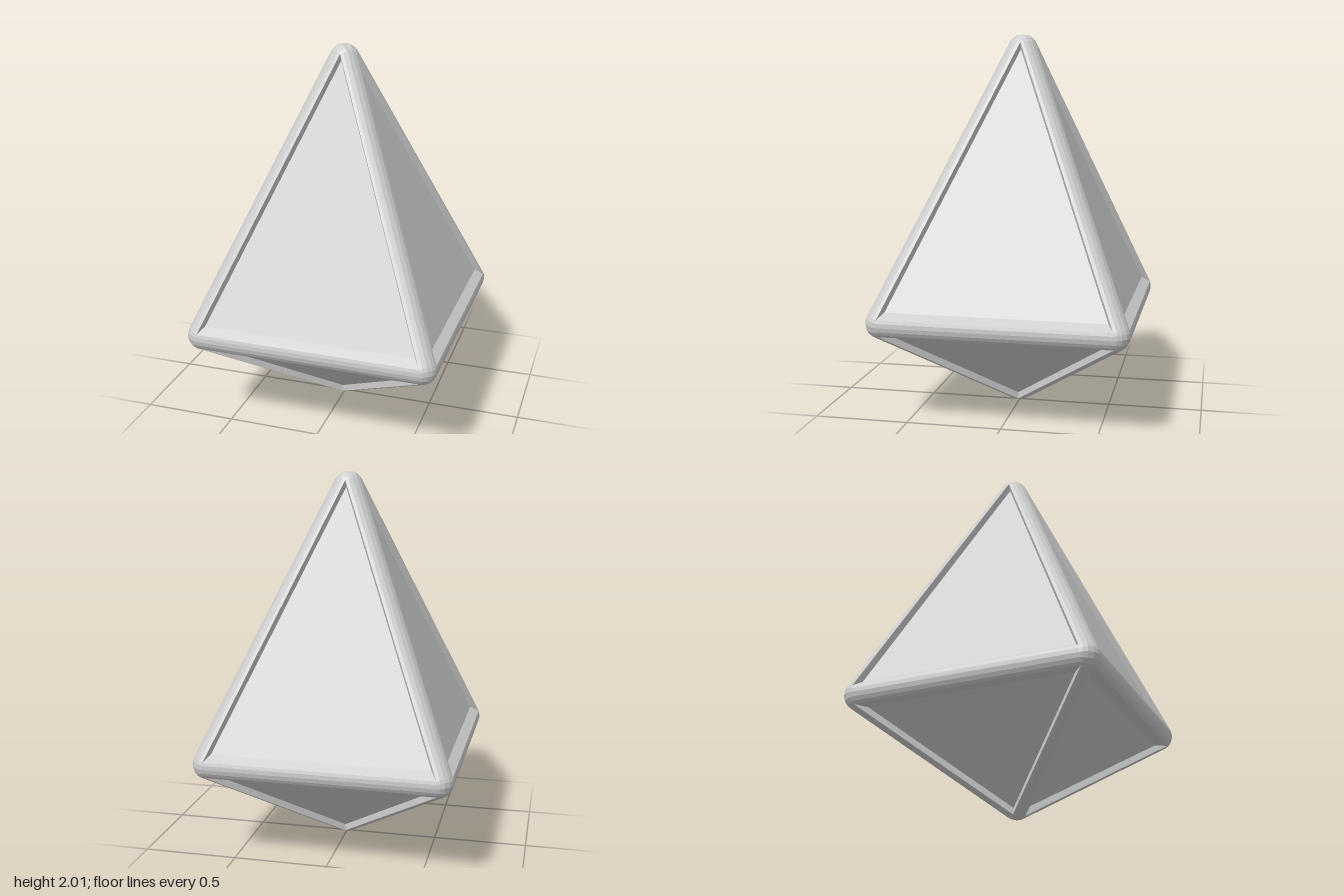
import * as THREE from 'three';

const R = 0.077;      // rounding radius of the frame
const N = 5;          // facets across each rounding
const V = (x, y, z) => new THREE.Vector3(x, y, z);
const along = (p, dir, d) => p.clone().addScaledVector(dir, d);
const blend = (a, b, t) => a.clone().lerp(b, t).normalize();

// Collects flat triangles, each wound to face the given outward hint
class Faces {
  constructor() { this.pos = []; }
  tri(a, b, c, out) {
    const n = b.clone().sub(a).cross(c.clone().sub(a));
    const list = n.dot(out) < 0 ? [a, c, b] : [a, b, c];
    list.forEach((p) => this.pos.push(p.x, p.y, p.z));
  }
  quad(a, b, c, d, out) {
    this.tri(a, b, c, out);
    this.tri(a, c, d, out);
  }
  mesh(name, material) {
    const g = new THREE.BufferGeometry();
    g.setAttribute('position', new THREE.Float32BufferAttribute(this.pos, 3));
    g.computeVertexNormals();
    const m = new THREE.Mesh(g, material);
    m.name = name;
    return m;
  }
}

export function createModel() {
  const group = new THREE.Group();
  group.name = 'crystal';
  const grey = new THREE.MeshStandardMaterial({ color: 0xcccccc, flatShading: true });
  grey.name = 'light grey';

  // Centres of the rounded points
  const top = V(-0.01, 1.93, -0.015);
  const bottom = V(0, 0.071, 0);
  const c = 0.595;
  const corners = [V(-c, 0.543, c), V(c, 0.543, c), V(c, 0.543, -c), V(-c, 0.543, -c)];
  const centre = V(0, 0.6, 0);

  const normalOf = (a, b, t) => {
    const n = b.clone().sub(a).cross(t.clone().sub(a)).normalize();
    return n.dot(a.clone().sub(centre)) < 0 ? n.negate() : n;
  };
  const upper = corners.map((p, i) => normalOf(p, corners[(i + 1) % 4], top));
  const lower = corners.map((p, i) => normalOf(p, corners[(i + 1) % 4], bottom));

  const edges = new Faces(), tips = new Faces(), grooves = new Faces(), panels = new Faces();

  // Rounded strut between two points, turning from face normal n1 to n2
  const strut = (p, q, n1, n2) => {
    for (let i = 0; i < N; i++) {
      const a = blend(n1, n2, i / N), b = blend(n1, n2, (i + 1) / N);
      edges.quad(along(p, a, R), along(q, a, R), along(q, b, R), along(p, b, R), a);
    }
  };

  // Rounded tip spanning four face normals given in order
  const tip = (p, n0, n1, n2, n3) => {
    const at = (u, v) => blend(n0, n1, u / N).lerp(blend(n3, n2, u / N), v / N).normalize();
    for (let u = 0; u < N; u++) {
      for (let v = 0; v < N; v++) {
        const q = [at(u, v), at(u + 1, v), at(u + 1, v + 1), at(u, v + 1)];
        tips.quad(...q.map((n) => along(p, n, R)), q[0]);
      }
    }
  };

  // Recessed triangular panel with sloped groove walls
  const panel = (a0, b0, t0, n, depth = 0.031, baseInset = 0.047, sideInset = 0.01) => {
    const outer = [a0, b0, t0].map((p) => along(p, n, R));
    const [a, b, t] = outer;
    const mid = a.clone().lerp(b, 0.5);
    const w = a.distanceTo(b) / 2, h = mid.distanceTo(t), len = Math.hypot(w, h);
    const up = t.clone().sub(mid).normalize(), side = b.clone().sub(a).normalize();
    const base = along(along(mid, up, baseInset), n, -depth);
    const half = w * (1 - baseInset / h) - sideInset * len / h;
    const inner = [
      along(base, side, -half),
      along(base, side, half),
      along(along(mid, up, h - sideInset * len / w), n, -depth),
    ];
    const middle = inner[0].clone().add(inner[1]).add(inner[2]).divideScalar(3);
    for (let i = 0; i < 3; i++) {
      const j = (i + 1) % 3;
      const hint = middle.clone().sub(outer[i].clone().lerp(outer[j], 0.5)).normalize().add(n);
      grooves.quad(outer[i], outer[j], inner[j], inner[i], hint);
    }
    panels.tri(...inner, n);
  };

  for (let i = 0; i < 4; i++) {
    const j = (i + 1) % 4, k = (i + 3) % 4;
    strut(corners[i], corners[j], upper[i], lower[i]);
    strut(corners[i], top, upper[k], upper[i]);
    strut(corners[i], bottom, lower[k], lower[i]);
    tip(corners[i], upper[k], upper[i], lower[i], lower[k]);
    panel(corners[i], corners[j], top, upper[i]);
    panel(corners[i], corners[j], bottom, lower[i]);
  }
  tip(top, ...upper);
  tip(bottom, ...lower);

  group.add(
    edges.mesh('frameEdges', grey),
    tips.mesh('frameTips', grey),
    grooves.mesh('panelGrooves', grey),
    panels.mesh('panels', grey),
  );
  group.rotation.y = -0.01;
  return group;
}
